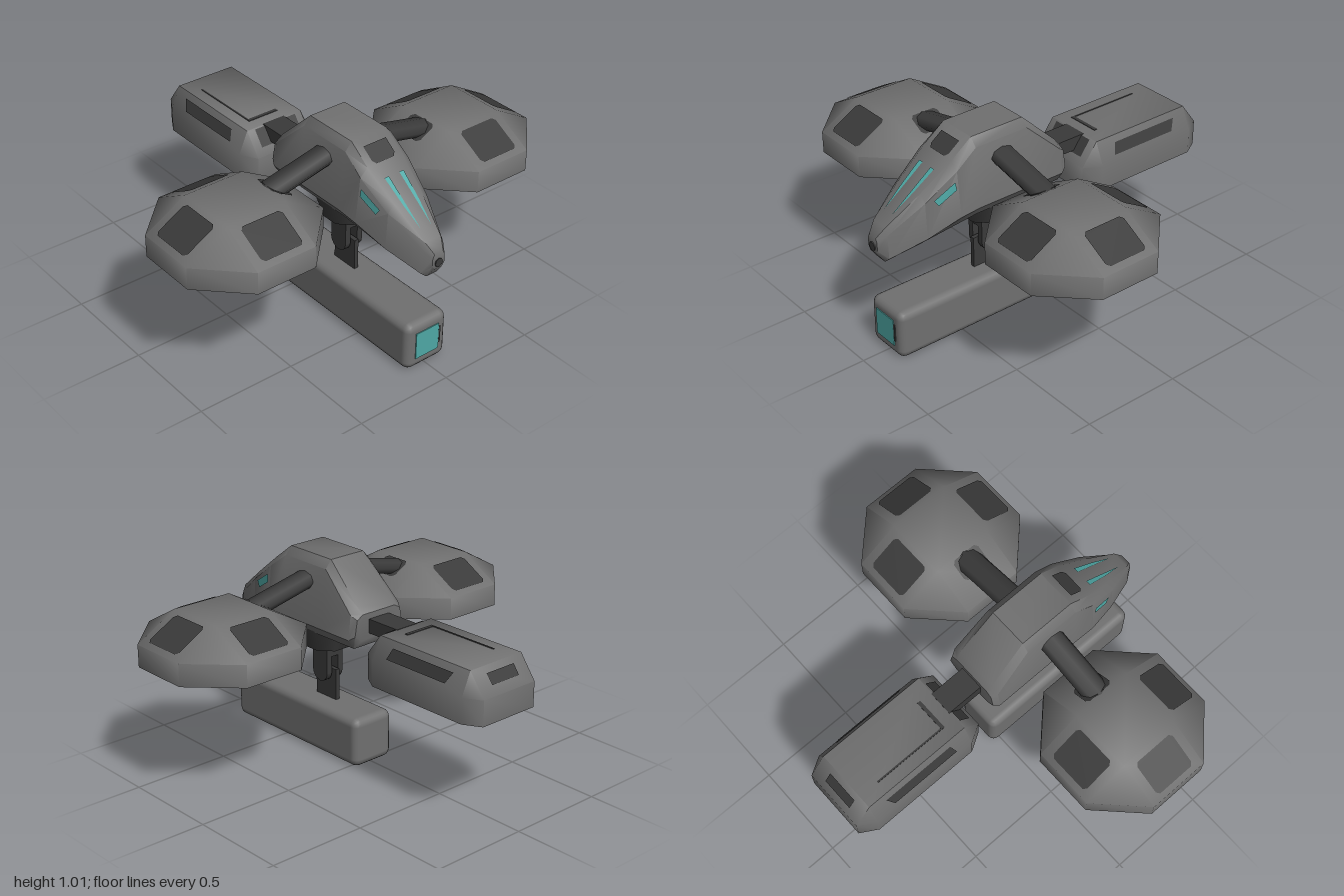
import * as THREE from 'three';
import { toCreasedNormals } from 'three/addons/utils/BufferGeometryUtils.js';
import { RoundedBoxGeometry } from 'three/addons/geometries/RoundedBoxGeometry.js';

const material = (name, color, side = THREE.FrontSide) => {
  const m = new THREE.MeshStandardMaterial({ color, side });
  m.name = name;
  return m;
};

// Skin a stack of equal-length loops and close both ends
function loft(rings, crease) {
  const pos = [];
  const tri = (a, b, c) => {
    const area = new THREE.Triangle(a, b, c).getArea();
    if (area > 1e-7) for (const p of [a, b, c]) pos.push(p.x, p.y, p.z);
  };
  const n = rings[0].length;
  for (let k = 0; k < rings.length - 1; k++) {
    for (let i = 0; i < n; i++) {
      const j = (i + 1) % n, lo = rings[k], hi = rings[k + 1];
      tri(lo[i], lo[j], hi[i]);
      tri(hi[j], hi[i], lo[j]);
    }
  }
  const first = rings[0], last = rings[rings.length - 1];
  for (let i = 1; i < n - 1; i++) {
    tri(first[0], first[i + 1], first[i]);
    tri(last[0], last[i], last[i + 1]);
  }
  const g = new THREE.BufferGeometry();
  g.setAttribute('position', new THREE.Float32BufferAttribute(pos, 3));
  return toCreasedNormals(g, crease);
}

// Rectangle with cut corners, in a level plane
function cutRect(hx, hz, cx, cz, y) {
  const a = hx - cx, b = hz - cz;
  return [[a, hz], [hx, b], [hx, -b], [a, -hz], [-a, -hz], [-hx, -b], [-hx, b], [-a, hz]]
    .map(([x, z]) => new THREE.Vector3(x, y, z));
}

// Hollow pod: recess, rim, wall, sloped shoulders, flat top
function podGeometry({ hx, hz, cx, cz, ceiling, bottom, shoulder, top, rim, inset }) {
  const inner = (d, y) => cutRect(hx - d, hz - d, cx * (1 - d / hx), cz * (1 - d / hx), y);
  return loft([
    inner(inset, ceiling), inner(rim, bottom), inner(0, bottom), inner(0, shoulder),
    cutRect(hx - cx, hz - cz, 0, 0, top),
  ], 1.13);
}

// Thin flat patch lifted off a surface towards `out`
function plateGeometry(points, out, lift = 0.005) {
  const p = points.map((q) => new THREE.Vector3(...q));
  const o = new THREE.Vector3(...out);
  const n = new THREE.Triangle(p[0], p[1], p[2]).getNormal(new THREE.Vector3());
  if (n.dot(o) < 0) { n.negate(); p.reverse(); }
  p.forEach((q) => q.addScaledVector(n, lift));
  const pos = [];
  for (let i = 1; i < p.length - 1; i++) for (const q of [p[0], p[i], p[i + 1]]) pos.push(q.x, q.y, q.z);
  const g = new THREE.BufferGeometry();
  g.setAttribute('position', new THREE.Float32BufferAttribute(pos, 3));
  g.computeVertexNormals();
  return g;
}

export function createModel() {
  const root = new THREE.Group();
  root.name = 'hoverDrone';
  const grey = material('hullGrey', 0x707070);
  const dark = material('darkMetal', 0x3a3a3a, THREE.DoubleSide);
  const teal = material('tealGlow', 0x4fa8a5, THREE.DoubleSide);

  const add = (name, geometry, mat, x = 0, y = 0, z = 0, parent = root) => {
    const m = new THREE.Mesh(geometry, mat);
    m.name = name;
    m.position.set(x, y, z);
    parent.add(m);
    return m;
  };
  const box = (name, w, h, d, mat, x, y, z) => add(name, new THREE.BoxGeometry(w, h, d), mat, x, y, z);
  const plate = (name, pts, out, mat, parent = root, lift) =>
    add(name, plateGeometry(pts, out, lift), mat, 0, 0, 0, parent);

  // Hull: z, four heights (bottom to top), four half widths
  const stations = [
    [-0.08, 0.67, 0.70, 0.78, 0.80, 0.11, 0.15, 0.135, 0.10],
    [-0.05, 0.63, 0.68, 0.80, 0.835, 0.13, 0.165, 0.15, 0.11],
    [0.14, 0.63, 0.68, 0.975, 1.015, 0.13, 0.165, 0.135, 0.10],
    [0.43, 0.63, 0.68, 0.975, 1.015, 0.13, 0.165, 0.135, 0.10],
    [0.54, 0.61, 0.67, 0.895, 0.933, 0.12, 0.165, 0.14, 0.10],
    [0.70, 0.56, 0.60, 0.78, 0.815, 0.08, 0.125, 0.115, 0.08],
    [0.87, 0.505, 0.535, 0.655, 0.689, 0.03, 0.065, 0.06, 0.045],
    [0.91, 0.56, 0.58, 0.62, 0.64, 0.02, 0.035, 0.035, 0.025],
  ];
  const hullRings = stations.map(([z, y0, y1, y2, y3, w0, w1, w2, w3]) =>
    [[w0, y0], [w1, y1], [w2, y2], [w3, y3], [-w3, y3], [-w2, y2], [-w1, y1], [-w0, y0]]
      .map(([x, y]) => new THREE.Vector3(x, y, z)));
  add('hull', loft(hullRings, 0.7), grey);

  // Hull markings
  const brow = (x, z) => [x, 1.015 - 0.742 * (z - 0.43), z];
  plate('browPanel', [brow(-0.065, 0.465), brow(0.065, 0.465), brow(0.065, 0.525), brow(0.05, 0.54),
    brow(-0.05, 0.54), brow(-0.065, 0.525)], [0, 1, 1], dark);
  const noseTip = add('noseSensor', new THREE.CylinderGeometry(0.022, 0.022, 0.008, 8), dark, 0, 0.59, 0.911);
  noseTip.rotation.x = Math.PI / 2;
  for (const s of [1, -1]) {
    plate('noseStripe', [brow(s * 0.03, 0.6), brow(s * 0.055, 0.6), brow(s * 0.045, 0.72), brow(s * 0.03, 0.82)],
      [0, 1, 1], teal);
    plate('sideEye', [[s * 0.142, 0.85, 0.555], [s * 0.123, 0.785, 0.66], [s * 0.1295, 0.755, 0.64],
      [s * 0.1447, 0.81, 0.55]], [s, 0, 0], teal, root, 0.007);
  }

  // Side lift pods with their arms
  const sidePod = podGeometry({ hx: 0.368, hz: 0.368, cx: 0.213, cz: 0.213, ceiling: 0.73, bottom: 0.63,
    shoulder: 0.74, top: 0.86, rim: 0.05, inset: 0.12 });
  for (const s of [1, -1]) {
    const pod = new THREE.Group();
    pod.name = s > 0 ? 'leftPod' : 'rightPod';
    pod.position.set(s * 0.632, 0, 0.285);
    root.add(pod);
    add('podShell', sidePod, grey, 0, 0, 0, pod);
    const ring = add('thrusterRing', new THREE.CylinderGeometry(0.2, 0.2, 0.008, 8), dark, 0, 0.727, 0, pod);
    ring.rotation.y = Math.PI / 8;
    add('thrusterGlow', new THREE.CylinderGeometry(0.115, 0.115, 0.008, 12), teal, 0, 0.72, 0, pod);

    // Dark patches on the four shoulders
    for (const [nx, nz] of [[0, 1], [0, -1], [s, 0], [-s, 0]]) {
      const inner = nx === -s;
      const [a0, a1, w] = inner ? [0.165, 0.265, 0.075] : [0.18, 0.34, 0.11];
      const at = (a, t) => [nx * a + nz * t, 0.86 - (a - 0.155) * 0.563, nz * a + nx * t];
      const c = 0.015;
      plate('shoulderPanel', [at(a0, -w + c), at(a0, w - c), at(a0 + c, w), at(a1 - c, w), at(a1, w - c),
        at(a1, c - w), at(a1 - c, -w), at(a0 + c, -w)], [nx, 1, nz], dark, pod);
    }

    const from = new THREE.Vector3(s * 0.08, 0.905, 0.285), to = new THREE.Vector3(s * 0.47, 0.818, 0.285);
    const arm = add(s > 0 ? 'leftArm' : 'rightArm',
      new THREE.CylinderGeometry(0.065, 0.065, from.distanceTo(to), 8).scale(0.62, 1, 1), dark);
    arm.position.lerpVectors(from, to, 0.5);
    arm.quaternion.setFromUnitVectors(new THREE.Vector3(0, 1, 0), to.clone().sub(from).normalize());
  }

  // Tail pod and connector
  box('tailConnector', 0.125, 0.07, 0.29, dark, 0, 0.735, -0.125);
  const tail = new THREE.Group();
  tail.name = 'tailPod';
  tail.position.z = -0.547;
  root.add(tail);
  add('tailShell', podGeometry({ hx: 0.21, hz: 0.368, cx: 0.05, cz: 0.085, ceiling: 0.61, bottom: 0.53,
    shoulder: 0.655, top: 0.768, rim: 0.035, inset: 0.08 }), grey, 0, 0, 0, tail);
  add('tailThrusterPlate', new THREE.BoxGeometry(0.19, 0.008, 0.48), dark, 0, 0.607, 0, tail);
  add('tailThrusterGlow', new THREE.BoxGeometry(0.09, 0.008, 0.36), teal, 0, 0.601, 0, tail);
  for (const s of [1, -1]) {
    const at = (t, z) => [s * (0.16 + 0.05 * t), 0.768 - 0.113 * t, z];
    plate('tailSidePanel', [at(0.28, 0.18), at(0.28, -0.2), at(0.75, -0.17), at(0.75, 0.2)], [s, 0.4, 0], dark, tail);
  }
  const tailEnd = (s, w, t0, t1) => [[-w, t0], [w, t0], [w, t1], [-w, t1]]
    .map(([x, t]) => [x, 0.768 - 0.113 * t, s * (0.283 + 0.085 * t)]);
  plate('tailRearPanel', tailEnd(-1, 0.085, 0.25, 0.65), [0, 1, -1], dark, tail);
  plate('tailFrontPanel', tailEnd(1, 0.12, 0.05, 0.7), [0, 1, 1], dark, tail);
  add('tailGrooveLong', new THREE.BoxGeometry(0.008, 0.004, 0.38), dark, -0.095, 0.769, 0.01, tail);
  add('tailGrooveShort', new THREE.BoxGeometry(0.17, 0.004, 0.018), dark, -0.014, 0.769, 0.208, tail);

  // Belly turret and yoke
  const turret = add('turretBase', new THREE.CylinderGeometry(0.15, 0.11, 0.12, 8), dark, 0, 0.585, 0.285);
  turret.rotation.y = Math.PI / 8;
  box('yokeBridge', 0.1, 0.06, 0.105, dark, 0, 0.505, 0.288);
  for (const s of [1, -1]) {
    box('yokeProng', 0.03, 0.11, 0.105, dark, s * 0.035, 0.445, 0.288);
    const end = add('yokeProngEnd', new THREE.CylinderGeometry(0.0525, 0.0525, 0.03, 16), dark, s * 0.035, 0.395, 0.288);
    end.rotation.z = Math.PI / 2;
  }
  box('hangerPlate', 0.022, 0.18, 0.145, dark, 0, 0.32, 0.288);

  // Slung gun pod
  add('gunPod', new RoundedBoxGeometry(0.24, 0.25, 0.915, 2, 0.04), grey, 0, 0.125, 0.408);
  box('gunLens', 0.135, 0.14, 0.008, teal, -0.003, 0.13, 0.866);
  box('gunLensEdge', 0.01, 0.09, 0.008, dark, 0.07, 0.135, 0.866);

  return root;
}
